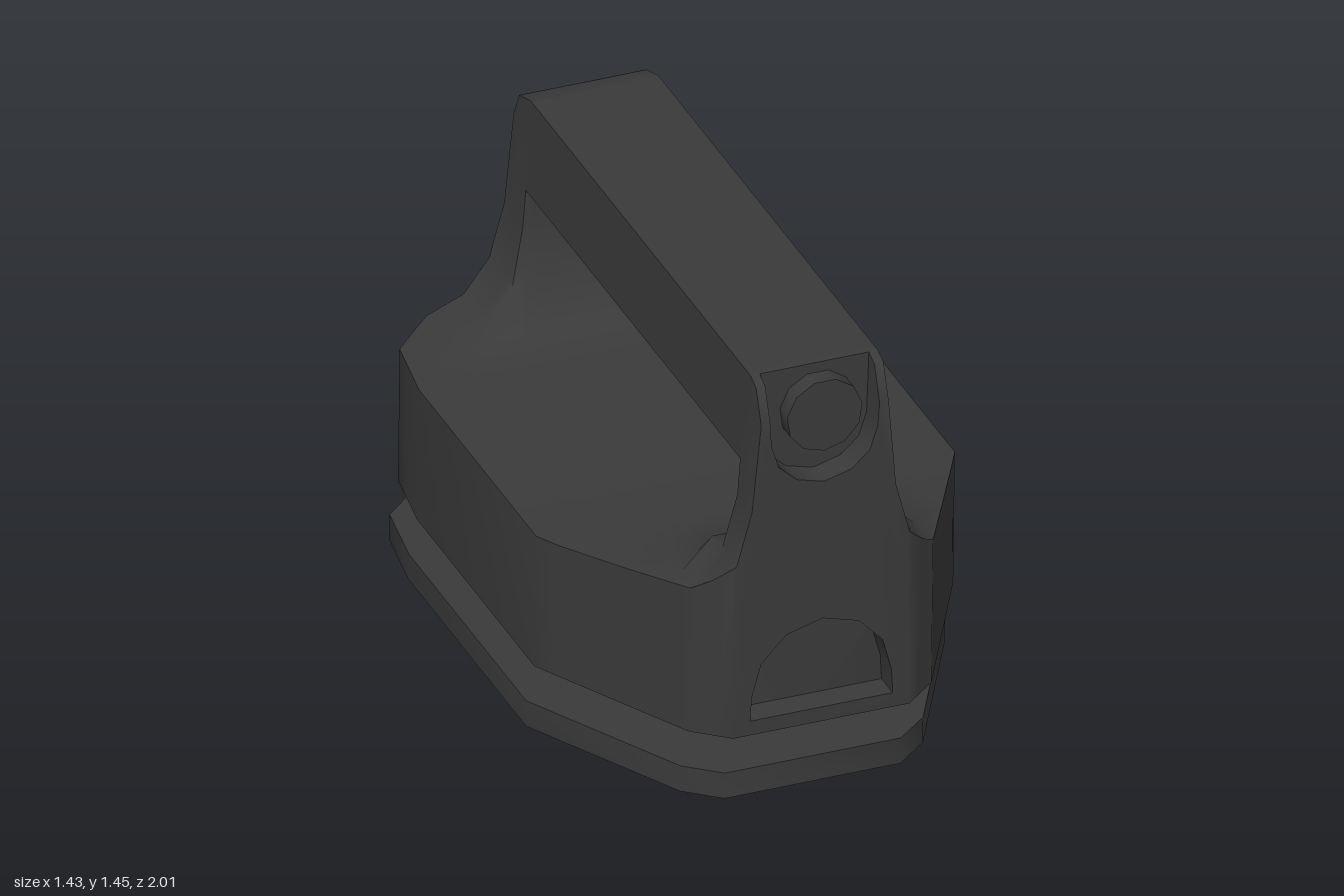
import * as THREE from 'three';
import { mergeGeometries, toCreasedNormals } from 'three/addons/utils/BufferGeometryUtils.js';

const V = (x, y) => new THREE.Vector2(x, y);

// Piecewise linear lookup in [key, value] pairs with rising keys
function lookup(table, k) {
  if (k <= table[0][0]) return table[0][1];
  for (let i = 1; i < table.length; i++) {
    const [a, va] = table[i - 1], [b, vb] = table[i];
    if (k <= b) return va + (vb - va) * (k - a) / (b - a);
  }
  return table[table.length - 1][1];
}

const BOTTOM = 0.21, TOP = 1.43, GRIP_BOTTOM = 1.125;
const BACK = -0.995, SEAM = 0.9, FRONT = 0.99, HOLE_BACK = -0.845, HOLE_FRONT = 0.872;
const CREASE = 1.0;
// plan outline: z -> half width
const OUTLINE = [[BACK, 0.27], [-0.935, 0.515], [-0.81, 0.655], [-0.57, 0.69], [0.37, 0.69], [SEAM, 0.4], [FRONT, 0.29]];
// flared front profile: x -> height
const PROFILE = [[0.21, TOP], [0.237, 1.0], [0.285, 0.82], [0.38, 0.722], [0.52, 0.692], [0.69, 0.672]];
// rounded ends of the top: z -> height
const CAP = [[BACK, 1.31], [-0.952, 1.4], [-0.86, TOP], [SEAM, TOP], [0.95, 1.41], [FRONT, 1.3]];
// floor of the hand opening: z -> height
const FLOOR = [[HOLE_BACK, 1.03], [-0.807, 0.84], [-0.705, 0.7], [-0.57, 0.672], [0.45, 0.672],
  [0.675, 0.7], [0.794, 0.82], [HOLE_FRONT, 1.0]];

// One cross-section of the body, left to right over the top
function section(z, open) {
  const w = lookup(OUTLINE, z);
  const limit = open ? lookup(FLOOR, z) : lookup(CAP, z);
  const half = PROFILE.map(([x]) => {
    const px = Math.min(x, w);
    return [px, Math.min(lookup(PROFILE, px), limit)];
  });
  half.push([w, BOTTOM]);
  const left = half.map(([x, y]) => [-x, y, z]).reverse();
  return [...left, ...half.map(([x, y]) => [x, y, z])];
}

// Body with both posts, lofted from the seam to the back
function loftGeometry() {
  const stations = [[SEAM, false], [HOLE_FRONT, false]];
  for (const z of [HOLE_FRONT, 0.794, 0.675, 0.45, 0.37, -0.57, -0.705, -0.807, HOLE_BACK]) stations.push([z, true]);
  for (const z of [HOLE_BACK, -0.86, -0.935, -0.952, -0.968, -0.991, BACK]) stations.push([z, false]);
  const rings = stations.map(([z, open]) => section(z, open));
  const pos = [], n = rings[0].length;
  const tri = (...p) => p.forEach(q => pos.push(...q));
  for (let s = 0; s < rings.length - 1; s++) {
    for (let i = 0; i < n; i++) {
      const j = (i + 1) % n, a = rings[s], b = rings[s + 1];
      tri(a[i], a[j], b[j]);
      tri(a[i], b[j], b[i]);
    }
  }
  const first = rings[0], last = rings[rings.length - 1];
  for (let i = 0; i < n - 1; i++) {
    tri([0, BOTTOM, SEAM], first[i + 1], first[i]);
    tri([0, BOTTOM, BACK], last[i], last[i + 1]);
  }
  const g = new THREE.BufferGeometry();
  g.setAttribute('position', new THREE.Float32BufferAttribute(pos, 3));
  return g;
}

// Front slab with a notch at the top and an arched recess below
function frontGeometry() {
  const side = [[0.4, BOTTOM], [0.4, lookup(PROFILE, 0.4)], ...PROFILE.slice(0, 4).reverse(),
    [0.18, TOP], [0.175, 1.22], [0.15, 1.14], [0.09, 1.085]];
  const mirrored = (half, middle) => [...half.map(([x, y]) => V(x, y)), middle,
    ...half.map(([x, y]) => V(-x, y)).reverse()];
  const shape = new THREE.Shape(mirrored(side, V(0, 1.06)));
  const arch = [[0.235, 0.26], [0.23, 0.345], [0.2, 0.455], [0.12, 0.54]];
  shape.holes.push(new THREE.Path(mirrored(arch, V(0, 0.575))));
  const g = new THREE.ExtrudeGeometry(shape, { depth: FRONT - SEAM, steps: 2, bevelEnabled: false });
  g.translate(0, 0, SEAM);
  // narrow the slab towards the front and round off its top
  const p = g.attributes.position;
  for (let i = 0; i < p.count; i++) {
    const x = p.getX(i), z = p.getZ(i), w = lookup(OUTLINE, z);
    if (Math.abs(x) > w) {
      p.setX(i, Math.sign(x) * w);
      if (p.getY(i) > 0.5) p.setY(i, lookup(PROFILE, w));
    }
    p.setY(i, Math.min(p.getY(i), lookup(CAP, z)));
  }
  g.deleteAttribute('uv');
  g.deleteAttribute('normal');
  return g;
}

export function createModel() {
  const group = new THREE.Group();
  const material = new THREE.MeshStandardMaterial({ color: 0x3a3a3a });
  const add = (name, geometry, x = 0, y = 0, z = 0) => {
    const mesh = new THREE.Mesh(geometry, material);
    mesh.name = name;
    mesh.position.set(x, y, z);
    group.add(mesh);
  };

  add('body', toCreasedNormals(mergeGeometries([loftGeometry(), frontGeometry()]), CREASE), 0, -0.01);

  // Grip bar between the posts
  const wide = lookup([[1.0, 0.237], [TOP, 0.21]].map(([y, x]) => [y, x]), GRIP_BOTTOM);
  const bar = new THREE.Shape([V(-wide, GRIP_BOTTOM), V(wide, GRIP_BOTTOM), V(0.21, TOP), V(-0.21, TOP)]);
  add('gripBar', new THREE.ExtrudeGeometry(bar, { depth: HOLE_FRONT - HOLE_BACK, bevelEnabled: false }),
    0, -0.01, HOLE_BACK);

  // Round button in the notch
  const button = new THREE.CylinderGeometry(0.125, 0.125, 0.06, 11);
  button.rotateX(Math.PI / 2);
  add('button', toCreasedNormals(button, CREASE), 0.012, 1.265, SEAM + 0.03);

  // Base plate with the same outline, set slightly to one side
  const plan = new THREE.Shape([...OUTLINE.map(([z, w]) => V(w, -z)),
    ...OUTLINE.map(([z, w]) => V(-w, -z)).reverse()]);
  const plate = new THREE.ExtrudeGeometry(plan, { depth: 0.09, bevelEnabled: false });
  plate.rotateX(-Math.PI / 2);
  add('basePlate', toCreasedNormals(plate, CREASE), -0.03, 0, 0.01);

  // Block joining the base plate to the body
  add('connector', new THREE.BoxGeometry(0.615, 0.13, 1.27), -0.067, 0.145, -0.33);

  // The whole piece sits slightly askew
  group.rotation.set(0.0125, -0.022, -0.006);
  group.position.set(0.012, 0.014, -0.002);
  return group;
}
